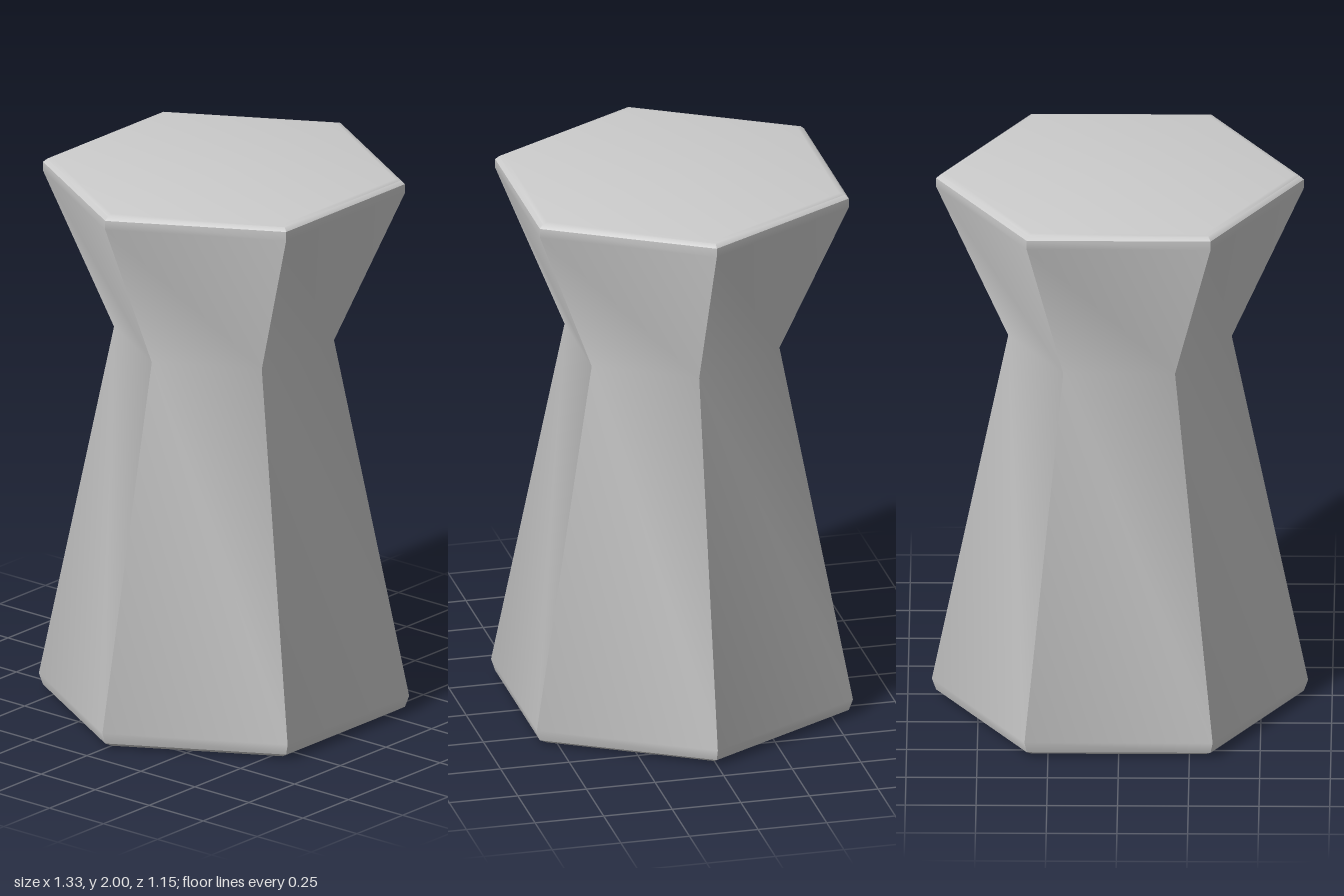
import * as THREE from 'three';
import { toCreasedNormals } from 'three/addons/utils/BufferGeometryUtils.js';

export function createModel() {
  const group = new THREE.Group();
  group.name = 'hexagonalStool';

  // Half profile (corner radius, height) from the underside to the seat
  const profile = [
    [0, 0], [0.615, 0], [0.65, 0.018], [0.665, 0.06], // bevelled foot
    [0.395, 1.38],                                    // waist
    [0.65, 1.95], [0.65, 1.983], [0.635, 1.996], [0.615, 2], [0, 2], // bevelled rim and seat
  ].map(([r, y]) => new THREE.Vector2(r, y));

  // Six sides with corners on the x axis; sharp between sides, soft along the profile
  const lathe = new THREE.LatheGeometry(profile, 6, Math.PI / 2);
  const geometry = toCreasedNormals(lathe, THREE.MathUtils.degToRad(40));

  const body = new THREE.Mesh(geometry, new THREE.MeshStandardMaterial({ color: 0xcccccc }));
  body.name = 'stoolBody';
  group.add(body);
  return group;
}
